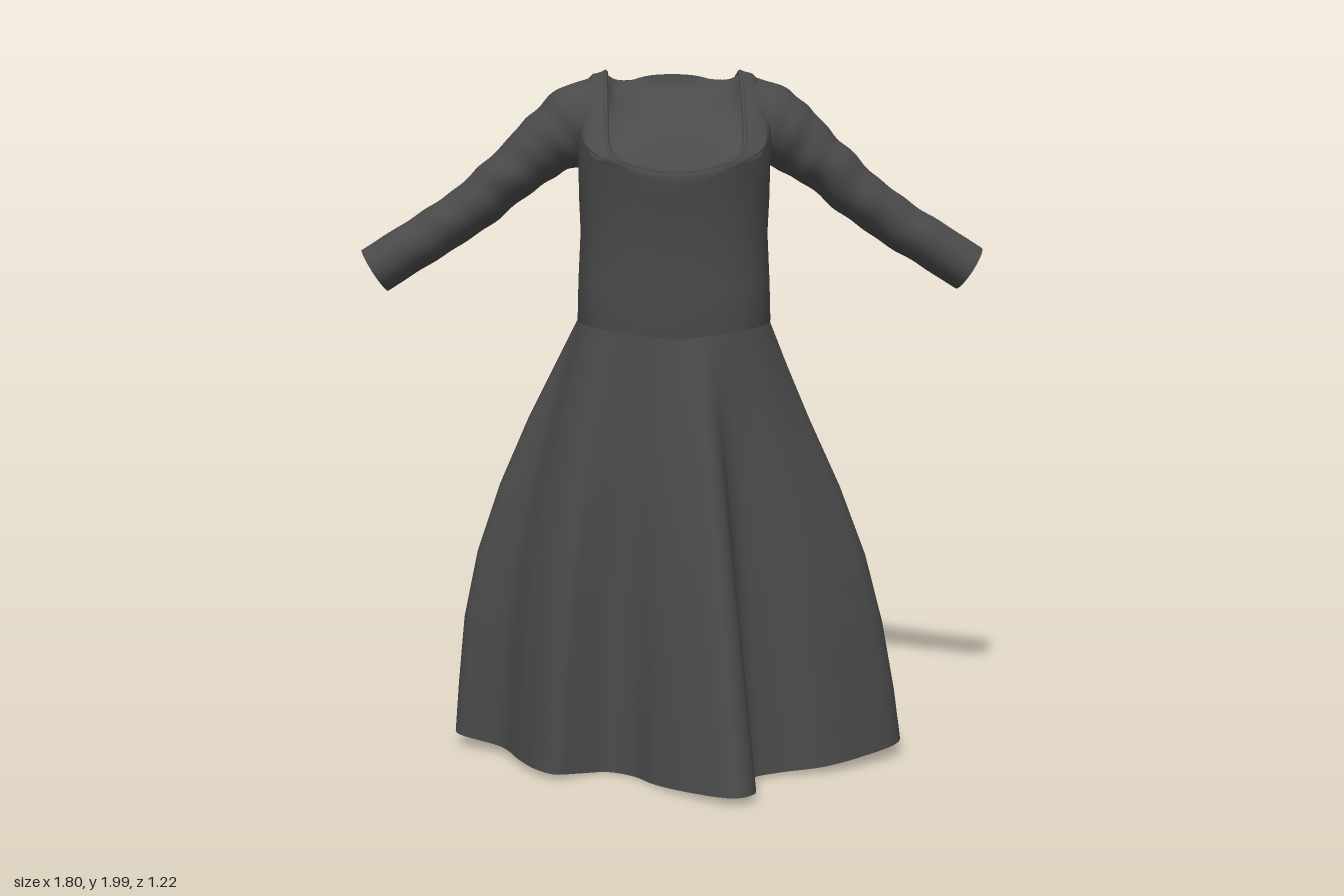
import * as THREE from 'three';

const cloth = new THREE.MeshStandardMaterial({ color: 0x4a4a4a, side: THREE.DoubleSide });
cloth.name = 'charcoal cloth';

// Skin a list of closed rings (each a list of [x, y, z])
function loft(name, rings) {
  const n = rings[0].length, index = [];
  for (let j = 0; j < rings.length - 1; j++) {
    for (let i = 0; i < n; i++) {
      const k = (i + 1) % n, a = j * n, b = a + n;
      index.push(a + i, a + k, b + k, a + i, b + k, b + i);
    }
  }
  const geo = new THREE.BufferGeometry();
  geo.setAttribute('position', new THREE.Float32BufferAttribute(rings.flat(2), 3));
  geo.setIndex(index);
  geo.computeVertexNormals();
  const mesh = new THREE.Mesh(geo, cloth);
  mesh.name = name;
  return mesh;
}

// Piecewise-linear lookup, keys ascending
function lookup(table, v) {
  if (v <= table[0][0]) return table[0][1];
  for (let i = 1; i < table.length; i++) {
    const [k0, v0] = table[i - 1], [k1, v1] = table[i];
    if (v <= k1) return v0 + (v1 - v0) * (v - k0) / (k1 - k0);
  }
  return table[table.length - 1][1];
}

// Rounded-rectangle plan point along a ray; angle 0 is the front, increasing towards +x
function plan(angle, halfX, front, back, power) {
  const s = Math.sin(angle), c = Math.cos(angle), halfZ = (front - back) / 2;
  const r = (Math.abs(s / halfX) ** power + Math.abs(c / halfZ) ** power) ** (-1 / power);
  return [r * s, (front + back) / 2 + r * c];
}

function ring(halfX, front, back, power, height, n = 120) {
  return Array.from({ length: n }, (_, i) => {
    const a = i / n * Math.PI * 2;
    const [x, z] = plan(a, halfX, front, back, power);
    return [x, height(x, z, a), z];
  });
}

// Height of the shoulder line from back to front, dipping at the centre front
const shoulder = [
  [-0.22, 1.84], [-0.19, 1.92], [-0.14, 1.985], [-0.07, 2], [0.03, 1.96], [0.11, 1.9], [0.18, 1.82], [0.245, 1.775], [0.27, 1.765],
];
const shoulderY = (x, z) => lookup(shoulder, z) - (z > 0.2 ? 0.04 * Math.max(0, Math.cos(x * 8.5)) : 0);

function makeBodice() {
  const g = new THREE.Group();
  g.name = 'bodice';
  const side = (a) => Math.sin(a) ** 2;
  const neckline = ring(0.195, 0.258, -0.19, 8, shoulderY);
  g.add(loft('bodiceShell', [
    ring(0.262, 0.235, -0.22, 2.8, () => 1.3),
    ring(0.278, 0.248, -0.232, 2.8, (x, z) => (z > 0 ? 1.255 + 0.12 * Math.abs(x) : 1.275)),
    ring(0.275, 0.242, -0.228, 2.8, () => 1.4),
    ring(0.268, 0.245, -0.225, 2.8, () => 1.54),
    ring(0.272, 0.26, -0.226, 2.9, () => 1.64),
    ring(0.275, 0.27, -0.222, 3.2, (x, z, a) => 1.69 + 0.15 * side(a)),
    ring(0.258, 0.27, -0.21, 4, (x, z, a) => shoulderY(x, z) - 0.012 - 0.028 * side(a)),
    ring(0.23, 0.266, -0.2, 5.5, (x, z, a) => shoulderY(x, z) - 0.004 - 0.008 * side(a)),
    neckline,
  ]));
  // Bound edge round the square neckline
  const edge = new THREE.CatmullRomCurve3(neckline.map(([x, y, z]) => new THREE.Vector3(x, y - 0.006, z)), true);
  const trim = new THREE.Mesh(new THREE.TubeGeometry(edge, 200, 0.008, 6, true), cloth);
  trim.name = 'necklineTrim';
  g.add(trim);
  // Smooth inner panel sloping up from the neckline to the nape
  const slope = (x, z) => 1.83 + (0.17 - z) * 0.5;
  g.add(loft('neckPanel', [
    ring(0.192, 0.25, -0.185, 8, (x, z) => shoulderY(x, z) - 0.012),
    ring(0.184, 0.215, -0.165, 4, (x, z) => lookup(shoulder, z) - 0.018),
    ring(0.165, 0.17, -0.14, 2.4, slope),
    ring(0.09, 0.09, -0.06, 2.2, slope),
    ring(0.001, 0.016, 0.014, 2, slope),
  ]));
  return g;
}

// Hem outline in plan [x, z], from the front fold round by +x
const hem = [
  [0.15, 0.61], [0.2, 0.57], [0.21, 0.5], [0.19, 0.43], [0.215, 0.355], [0.3, 0.315], [0.42, 0.295], [0.54, 0.225],
  [0.65, 0.13], [0.66, 0.05], [0.56, -0.04], [0.42, -0.14], [0.31, -0.24], [0.285, -0.33],
  [0.33, -0.43], [0.37, -0.52], [0.31, -0.54], [0.24, -0.5], [0.18, -0.38], [0.14, -0.26],
  [0.08, -0.21], [0.025, -0.28], [0.04, -0.45], [0.06, -0.57], [0.02, -0.615], [-0.02, -0.56],
  [-0.035, -0.43], [-0.05, -0.3], [-0.12, -0.29], [-0.21, -0.31], [-0.3, -0.425], [-0.38, -0.43],
  [-0.44, -0.35], [-0.44, -0.24], [-0.52, -0.15], [-0.64, -0.09], [-0.64, -0.03], [-0.51, 0.06],
  [-0.45, 0.2], [-0.4, 0.29], [-0.35, 0.33], [-0.28, 0.3], [-0.2, 0.27], [-0.13, 0.31],
  [-0.07, 0.41], [0.02, 0.51],
];

// Flare of the right and left sides: share of the spread by share of the drop
const flareRight = [[0, 0], [0.12, 0.2], [0.24, 0.4], [0.4, 0.63], [0.56, 0.81], [0.72, 0.92], [0.88, 0.97], [1, 1]];
const flareLeft = [[0, 0], [0.12, 0.15], [0.24, 0.31], [0.4, 0.54], [0.56, 0.73], [0.72, 0.86], [0.88, 0.95], [1, 1]];

function makeSkirt() {
  const n = 260, rows = 25, w = 8;
  const curve = new THREE.CatmullRomCurve3(hem.map(([x, z]) => new THREE.Vector3(x, 0, z)), true);
  const pts = curve.getSpacedPoints(n).slice(0, n);
  // Unwrapped hem angles, averaged so the folds gather evenly at the waist
  const raw = [];
  pts.forEach((p, i) => {
    let a = Math.atan2(p.x, p.z);
    while (i && a < raw[i - 1] - Math.PI) a += 2 * Math.PI;
    raw.push(a);
  });
  const angles = raw.map((_, i) => {
    let sum = 0;
    for (let k = i - w; k <= i + w; k++) sum += raw[(k + n) % n] + Math.floor(k / n) * 2 * Math.PI;
    return sum / (2 * w + 1);
  });
  const rings = [];
  for (let j = 0; j <= rows; j++) {
    const s = 1 - j / rows;
    rings.push(pts.map((p, i) => {
      const [wx, wz] = plan(angles[i], 0.27, 0.236, -0.222, 2.6);
      const sideways = Math.sin(angles[i]) ** 2;
      const f = s + (lookup(p.x < 0 ? flareRight : flareLeft, s) - s) * sideways;
      const hemY = 0.11 * p.x * p.x + (p.z > 0 ? 0.075 : 0.15) * p.z * p.z;
      return [wx + (p.x - wx) * f, 1.3 + (hemY - 1.3) * s, wz + (p.z - wz) * f];
    }));
  }
  return loft('skirt', rings);
}

// Sleeve: [x, y, z, radius in the front plane, radius in depth]
const sleevePath = [
  [0.2, 1.87, -0.025, 0.115, 0.118], [0.28, 1.84, -0.025, 0.118, 0.122], [0.35, 1.798, -0.03, 0.097, 0.112],
  [0.43, 1.735, -0.035, 0.081, 0.104], [0.53, 1.648, -0.04, 0.074, 0.097], [0.63, 1.572, -0.045, 0.071, 0.09],
  [0.74, 1.503, -0.045, 0.07, 0.085], [0.863, 1.425, -0.045, 0.07, 0.082],
];

function makeSleeve(side) {
  const path = new THREE.CatmullRomCurve3(sleevePath.map((p) => new THREE.Vector3(p[0], p[1], p[2])));
  const steps = 60, n = 32, rings = [];
  for (let j = 0; j <= steps; j++) {
    const t = j / steps, c = path.getPoint(t), d = path.getTangent(t);
    const len = Math.hypot(d.x, d.y), seg = t * (sleevePath.length - 1);
    const k = Math.min(Math.floor(seg), sleevePath.length - 2), f = seg - k;
    const mix = (m) => sleevePath[k][m] * (1 - f) + sleevePath[k + 1][m] * f;
    rings.push(Array.from({ length: n }, (_, i) => {
      const a = i / n * Math.PI * 2;
      // Soft irregular creases spiralling round the arm
      const wave = Math.sin(t * 52 + 2 * Math.sin(a + side)) + Math.sin(t * 31 - 2 * Math.cos(a) + side);
      const crease = 1 + 0.024 * wave * Math.sin(Math.PI * t);
      const u = Math.cos(a) * mix(3) * crease, v = Math.sin(a) * mix(4) * crease;
      return [side * (c.x - d.y / len * u), c.y + d.x / len * u, c.z + v];
    }));
  }
  return loft(side > 0 ? 'leftSleeve' : 'rightSleeve', side > 0 ? rings : rings.reverse());
}

export function createModel() {
  const model = new THREE.Group();
  model.name = 'dress';
  model.add(makeBodice(), makeSkirt(), makeSleeve(1), makeSleeve(-1));
  return model;
}
